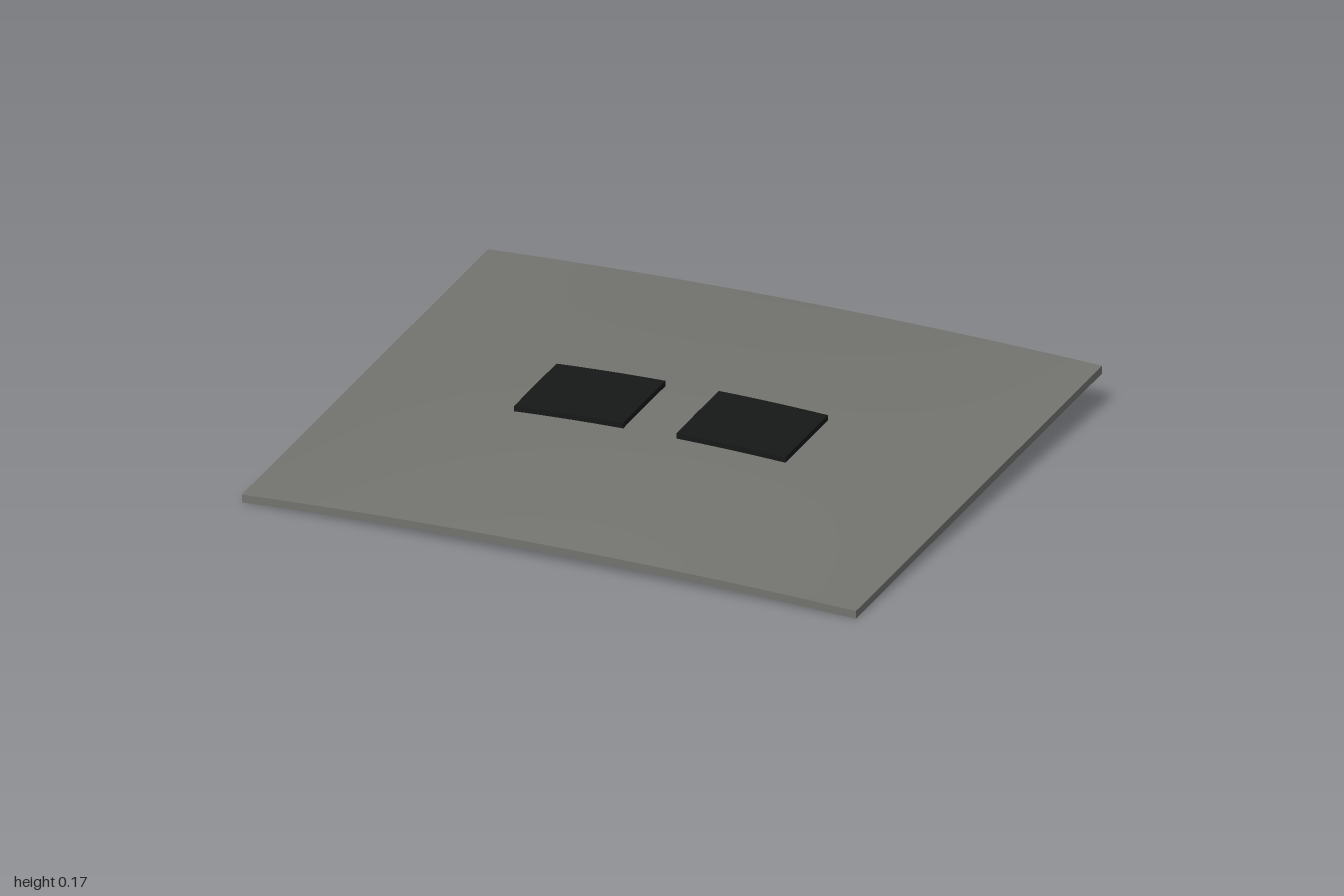
import * as THREE from 'three';

// Height of the panel's upper surface: tilted up to the back, crowned both ways
function surfaceHeight(x, z) {
  const crown = 0.023 + 0.039 * (1 - (z / 0.85) ** 2);
  return 0.084 - 0.067 * z + crown * (1 - x * x);
}

// A slab whose faces follow the curved surface; bottom and top are offsets from it
function curvedSlab(name, x0, x1, z0, z1, bottom, top, segments, color) {
  const geometry = new THREE.BoxGeometry(x1 - x0, top - bottom, z1 - z0, segments, 1, segments);
  geometry.translate((x0 + x1) / 2, (top + bottom) / 2, (z0 + z1) / 2);
  const p = geometry.attributes.position;
  for (let i = 0; i < p.count; i++) {
    p.setY(i, p.getY(i) + surfaceHeight(p.getX(i), p.getZ(i)));
  }
  geometry.computeVertexNormals();
  const mesh = new THREE.Mesh(geometry, new THREE.MeshStandardMaterial({ color }));
  mesh.name = name;
  return mesh;
}

export function createModel() {
  const model = new THREE.Group();
  model.name = 'curvedRoofPanel';

  // Main curved panel
  model.add(curvedSlab('panel', -1, 1, -0.85, 0.85, -0.025, 0, 32, 0x73746f));

  // Two dark pads lying on the panel
  model.add(curvedSlab('leftPad', 0.087, 0.442, -0.14, 0.153, -0.004, 0.017, 8, 0x161717));
  model.add(curvedSlab('rightPad', -0.442, -0.087, -0.14, 0.153, -0.004, 0.017, 8, 0x161717));

  return model;
}
